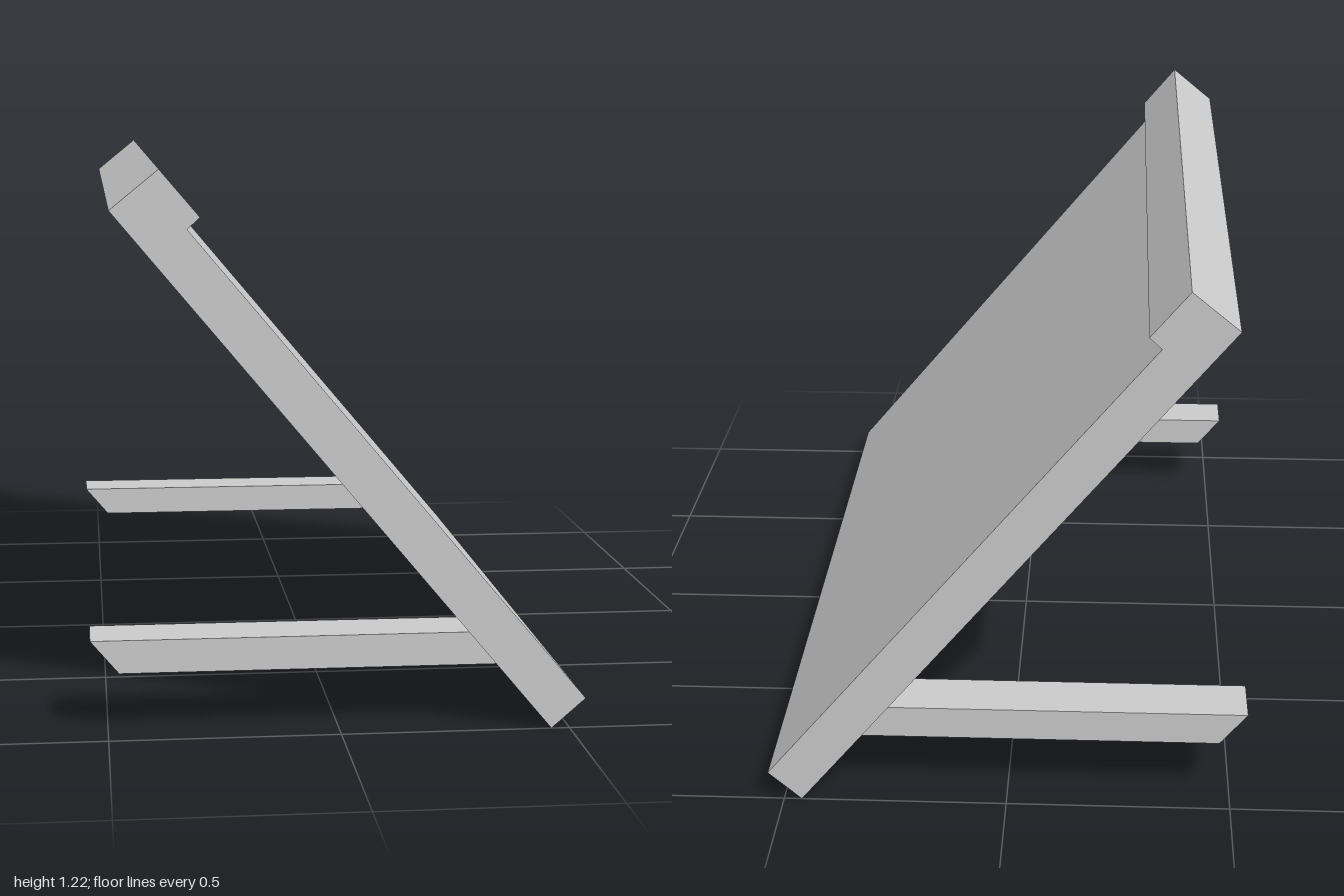
import * as THREE from 'three';

const material = new THREE.MeshStandardMaterial({ color: 0xcccccc, flatShading: true });
const doubleSided = new THREE.MeshStandardMaterial({ color: 0xcccccc, flatShading: true, side: THREE.DoubleSide });

const v2 = ([x, y]) => new THREE.Vector2(x, y);
const shapeOf = (pts) => new THREE.Shape(pts.map(v2));

// Flat walls swept along z below a chain of xy points
function ribbon(pts, z0, z1) {
  const pos = [];
  for (let i = 0; i < pts.length - 1; i++) {
    const a = pts[i], b = pts[i + 1];
    pos.push(...a, z0, ...b, z0, ...b, z1, ...a, z0, ...b, z1, ...a, z1);
  }
  const g = new THREE.BufferGeometry();
  g.setAttribute('position', new THREE.Float32BufferAttribute(pos, 3));
  g.computeVertexNormals();
  return g;
}

function add(parent, name, geometry, mat = material) {
  const mesh = new THREE.Mesh(geometry, mat);
  mesh.name = name;
  parent.add(mesh);
  return mesh;
}

export function createModel() {
  const model = new THREE.Group();
  model.name = 'leaningPanelStand';

  // Leaning panel with a lip along its top; the underside runs from last to first point
  const profile = [[0.46, 0], [0.535, 0.065], [-0.325, 1.09], [-0.298, 1.115], [-0.383, 1.215], [-0.487, 1.13]];
  const top = profile[5], foot = profile[0];
  const underX = (y) => foot[0] + (top[0] - foot[0]) * (y / top[1]);
  const panel = new THREE.Group();
  panel.name = 'panel';
  model.add(panel);
  add(panel, 'panelFaces', ribbon(profile, -1, 1));
  add(panel, 'panelEndLeft', new THREE.ShapeGeometry(shapeOf(profile))).position.z = 1;
  const back = add(panel, 'panelEndRight', new THREE.ShapeGeometry(shapeOf(profile.map(([x, y]) => [-x, y]))));
  back.rotation.y = Math.PI;
  back.position.z = -1;

  // Support arms and the matching pockets beside them
  const low = 0.13, high = 0.203;
  const armIn = 0.8025, width = 0.135, depth = 0.06;
  const armProfile = [[-0.475, low], [underX(low), low], [underX(high), high], [-0.537, high]];
  const A = [underX(high), high], B = [underX(low), low];
  const C = [B[0] + depth, low], D = [A[0] + depth, high];

  // Underside, drawn flat (slope along x, width along y) and then tilted into place
  const length = Math.hypot(foot[0] - top[0], top[1]);
  const along = (y) => length * (1 - y / top[1]);
  const underside = shapeOf([[0, -1], [length, -1], [length, 1], [0, 1]]);

  for (const side of [-1, 1]) {
    const name = side > 0 ? 'Front' : 'Back';
    const arm = new THREE.ExtrudeGeometry(shapeOf(armProfile), { depth: width, bevelEnabled: false });
    add(model, 'supportArm' + name, arm).position.z = side > 0 ? armIn : -armIn - width;

    const z0 = side > 0 ? armIn - width : -armIn, z1 = z0 + width;
    underside.holes.push(new THREE.Path(
      [[along(high), z0], [along(high), z1], [along(low), z1], [along(low), z0]].map(v2)));
    add(panel, 'pocketWalls' + name, ribbon([A, D, C, B], z0, z1), doubleSided);
    for (const z of [z0, z1]) {
      add(panel, 'pocketSide' + name, new THREE.ShapeGeometry(shapeOf([A, B, C, D])), doubleSided).position.z = z;
    }
  }

  const slope = new THREE.Vector3(foot[0] - top[0], -top[1], 0).normalize();
  const zAxis = new THREE.Vector3(0, 0, 1);
  const normal = slope.clone().cross(zAxis);
  const tilt = new THREE.Matrix4().makeBasis(slope, zAxis, normal).setPosition(top[0], top[1], 0);
  add(panel, 'underside', new THREE.ShapeGeometry(underside).applyMatrix4(tilt));

  return model;
}
